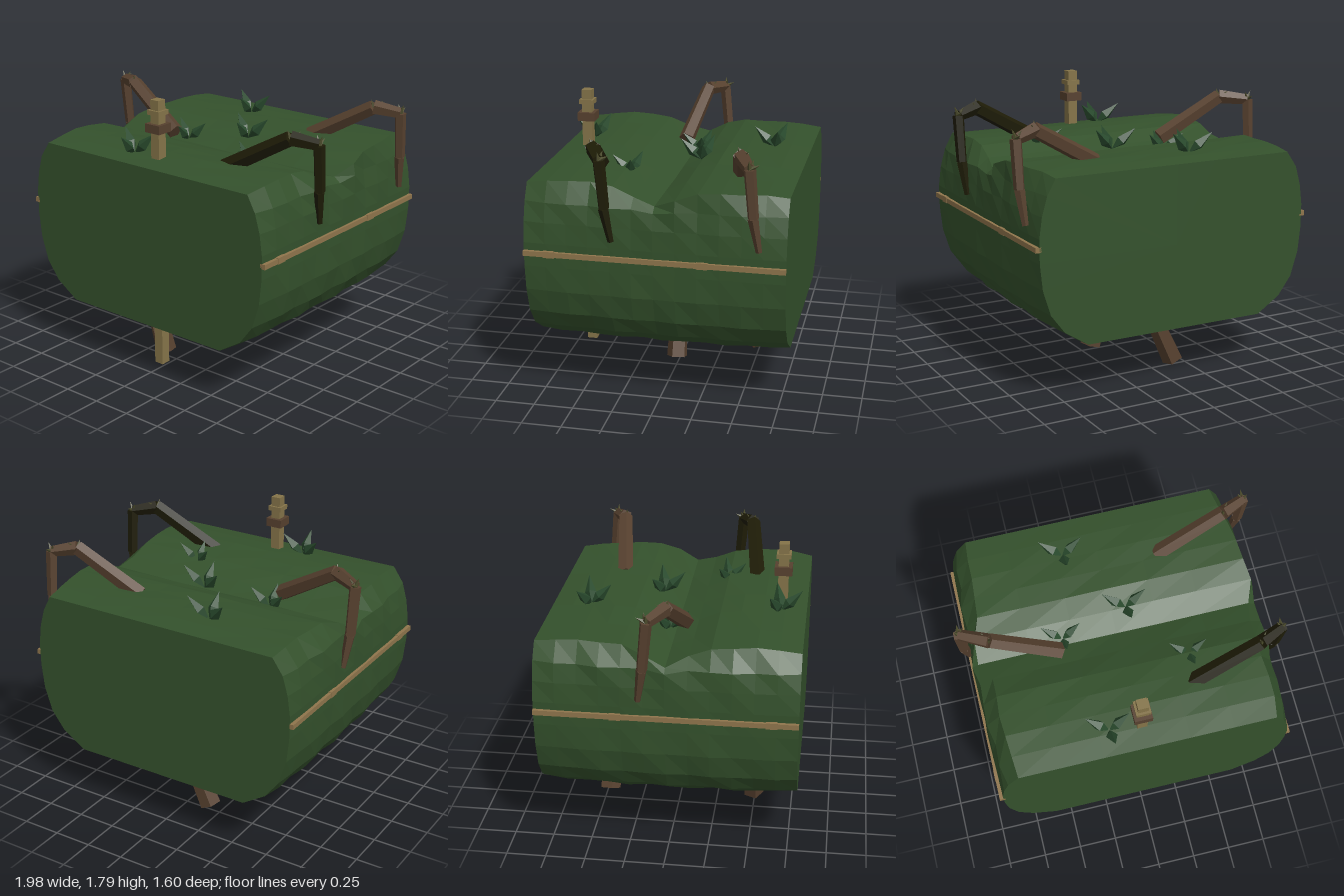
import * as THREE from 'three';

const mat = (name, color) => {
  const m = new THREE.MeshStandardMaterial({ color, flatShading: true });
  m.name = name;
  return m;
};

export function createModel() {
  const moss = mat('moss green', 0x34512c);
  const leafGreen = mat('leaf green', 0x294a2d);
  const bark = mat('bark brown', 0x57412f);
  const darkBark = mat('dark bark', 0x1e1c07);
  const post = mat('post tan', 0x857449);
  const twig = mat('twig tan', 0x8f754c);
  const thorn = mat('thorn olive', 0x4c4c2c);

  const model = new THREE.Group();
  model.name = 'mossyBlock';
  const V = (x, y, z) => new THREE.Vector3(x, y, z);
  const UP = V(0, 1, 0);

  const add = (name, geo, material, parent = model) => {
    const mesh = new THREE.Mesh(geo, material);
    mesh.name = name;
    parent.add(mesh);
    return mesh;
  };
  const box = (name, w, h, d, x, y, z, material) =>
    add(name, new THREE.BoxGeometry(w, h, d), material).position.set(x, y, z);

  // Tapered strut from a to b
  const strut = (name, a, b, ra, rb, material, parent, sides = 5) => {
    const dir = b.clone().sub(a);
    const mesh = add(name, new THREE.CylinderGeometry(rb, ra, dir.length(), sides), material, parent);
    mesh.position.copy(a).add(b).multiplyScalar(0.5);
    mesh.quaternion.setFromUnitVectors(UP, dir.normalize());
    return mesh;
  };

  // Ground block: cross-sections along z with a valley across the top
  const ridge = [1.4, 1.415, 1.42, 1.42, 1.415, 1.375, 1.31, 1.355, 1.41, 1.425, 1.43, 1.42, 1.4];
  // Half profile from bottom to top: x, y, and how far it bulges between the ends
  const profile = [[0.61, 0.36, 0.06], [0.765, 0.46, 0.05], [0.855, 0.58, 0.035], [0.905, 0.74, 0.025],
    [0.922, 0.9, 0.01], [0.923, 1.05, 0.01], [0.905, 1.18, 0.03], [0.87, 1.3, 0.06]];
  const topX = [0.815, 0.55, 0.27, 0, -0.27, -0.55, -0.8];
  const rightRim = [0, 0.02, 0.05, 0.07, 0.08, 0.1, 0.05, 0.02, 0.01, 0.01, 0.02, 0.02, 0];
  const leftRim = [0, 0.01, 0.01, 0.02, 0.03, 0.08, 0.09, 0.02, 0.02, 0.03, 0.02, 0.01, 0];
  const pos = [], idx = [];
  const rings = ridge.length, n = profile.length * 2 + topX.length;
  ridge.forEach((top, i) => {
    const z = -0.8 + (1.6 * i) / (rings - 1);
    const swell = Math.sqrt(Math.sin((Math.PI * i) / (rings - 1)) + 1e-9);
    const side = (s, [x, y, bulge], k) => {
      const ripple = 0.75 + 0.25 * Math.sin(i * 2.3 + k * 1.1 + s);
      pos.push(s * (x + bulge * swell * ripple), Math.min(y, top - 0.03), z);
    };
    profile.forEach((p, k) => side(1, p, k));
    topX.forEach((x, k) => {
      const rim = k === 0 ? rightRim[i] : k === 6 ? -leftRim[i] : 0;
      pos.push(x + rim, top + 0.004 * swell * Math.sin(i * 2.3 + k * 1.7), z);
    });
    profile.map((p, k) => [p, k]).reverse().forEach(([p, k]) => side(-1, p, k));
  });
  for (let i = 0; i < rings - 1; i++) {
    for (let j = 0; j < n; j++) {
      const a = i * n + j, b = i * n + ((j + 1) % n);
      idx.push(a, b, b + n, a, b + n, a + n);
    }
  }
  pos.push(0, 0.9, -0.8, 0, 0.9, 0.8);
  const back = rings * n, last = (rings - 1) * n;
  for (let j = 0; j < n; j++) {
    const k = (j + 1) % n;
    idx.push(back, k, j, back + 1, last + j, last + k);
  }
  const block = new THREE.BufferGeometry();
  block.setAttribute('position', new THREE.Float32BufferAttribute(pos, 3));
  block.setIndex(idx);
  const blockGeo = block.toNonIndexed();
  blockGeo.computeVertexNormals();
  add('mossBlock', blockGeo, moss);

  // Thin jointed twig running along each side
  for (const s of [-1, 1]) {
    box('sideTwig', 0.036, 0.032, 1.6, s * 0.929, 0.987, 0, twig);
    for (const z of [0.64, -0.3]) box('twigJoint', 0.04, 0.04, 0.07, s * 0.929, 0.987, z, twig);
  }

  // Square post through the block with two collars
  box('post', 0.064, 1.75, 0.064, 0, 0.913, 0.64, post);
  box('upperCollar', 0.092, 0.03, 0.092, 0, 1.71, 0.64, post);
  box('lowerCollar', 0.112, 0.055, 0.112, 0, 1.613, 0.64, bark);

  // Arched roots: arm, knee, drop and hanging tip, with thorns at the bends
  const archedRoot = (name, pts, material) => {
    const g = new THREE.Group();
    g.name = name;
    model.add(g);
    const [a, b, c, d, e] = pts.map(p => V(...p));
    strut('rootArm', a, b, 0.054, 0.048, material, g);
    strut('rootKnee', b, c, 0.048, 0.036, material, g);
    strut('rootDrop', c, d, 0.038, 0.034, material, g);
    strut('rootTip', d, e, 0.034, 0.02, material, g);
    const out = Math.sign(c.x);
    [[b, -0.01, 0.055, 0.02], [b, 0.04, 0.04, -0.05], [c, 0.025, 0.06, 0], [c, -0.03, 0.055, -0.02], [c, 0, 0.03, -0.06]]
      .forEach(([p, x, y, z]) => strut('thorn', p, p.clone().add(V(x * out, y, z)), 0.018, 0, thorn, g, 4));
  };
  const rightArch = z => [[0.37, 1.385, z], [0.81, 1.635, z - 0.065], [0.96, 1.605, z - 0.14], [0.955, 1.31, z - 0.165], [0.937, 1.1, z - 0.2]];
  archedRoot('frontLeftRoot', rightArch(0.45), darkBark);
  archedRoot('backLeftRoot', rightArch(-0.44), bark);
  archedRoot('rightRoot', [[-0.37, 1.385, 0.06], [-0.79, 1.64, -0.01], [-0.96, 1.62, -0.1], [-0.955, 1.31, -0.13], [-0.932, 1.1, -0.16]], bark);

  // Thick roots hanging below
  [[-0.3, -0.1, 0.49], [0.0, 0.18, 0.01], [0.12, -0.17, -0.48]].forEach(([x0, x1, z]) =>
    strut('lowerRoot', V(x0, 0.65, z), V(x1, 0.03, z), 0.048, 0.07, bark, model));

  // Tufts of three pointed leaves
  const leafGeo = new THREE.LatheGeometry([[0.004, 0], [0.19, 0.4], [0, 1]].map(p => new THREE.Vector2(...p)), 4);
  const leafDirs = [[-0.135, 0.135, -0.065], [0.135, 0.14, -0.035], [0.01, 0.135, 0.13]];
  const tufts = [
    [-0.22, 1.41, -0.56, 1], [0.09, 1.39, -0.13, 1], [-0.34, 1.32, -0.04, 0.9],
    [0.4, 1.37, 0.26, 0.85], [-0.2, 1.415, 0.64, 1],
  ];
  tufts.forEach(([x, y, z, s]) => {
    const g = new THREE.Group();
    g.name = 'leafTuft';
    g.position.set(x, y - 0.005, z);
    g.scale.setScalar(s);
    model.add(g);
    leafDirs.forEach(d => {
      const dir = V(...d);
      const len = dir.length();
      const leaf = add('leaf', leafGeo, leafGreen, g);
      leaf.scale.setScalar(len);
      leaf.quaternion.setFromUnitVectors(UP, dir.normalize());
    });
  });

  return model;
}
